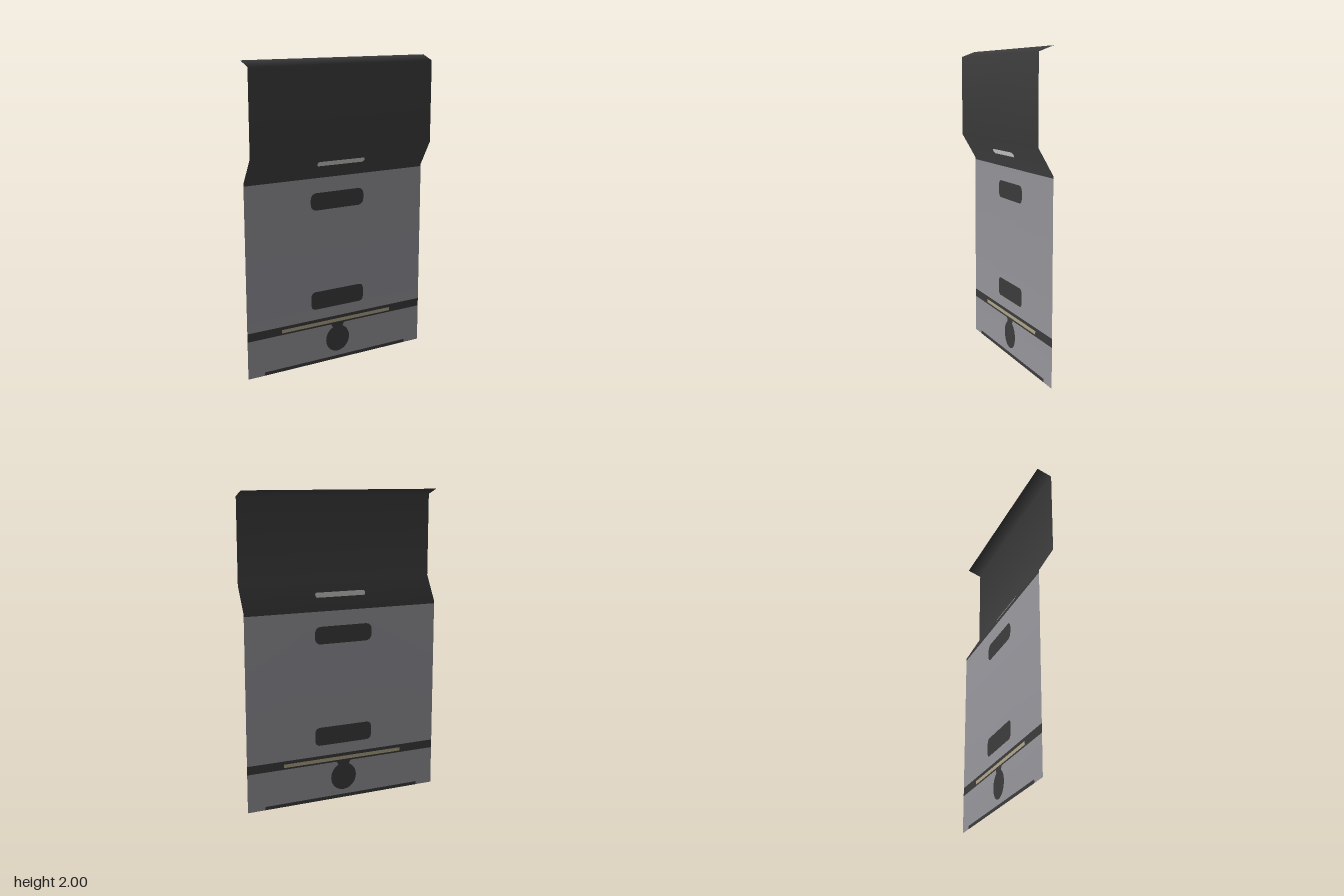
import * as THREE from 'three';

const W = 0.667; // half width of the sheet

// Side profile of the folded sheet, bottom to top: [y, z]
const PROFILE = [[0, -0.048], [1.265, -0.048], [1.43, 0.047], [1.965, 0.047], [2, -0.045]];

// Length-weighted normals at the folds, for soft shading across them
const segments = PROFILE.slice(1).map(([y, z], i) => [PROFILE[i][1] - z, y - PROFILE[i][0]]);
const NORMALS = PROFILE.map((_, i) => {
  const a = segments[i - 1] ?? [0, 0], b = segments[i] ?? [0, 0];
  return new THREE.Vector3(0, a[0] + b[0], a[1] + b[1]).normalize();
});

const points = (list) => list.map(([x, y]) => new THREE.Vector2(x, y));
const band = (y0, y1, w = W) => points([[-w, y0], [w, y0], [w, y1], [-w, y1]]);

// Outline of a rounded slot centred on x = 0
function slot(w, y0, y1, r) {
  const corners = [[w - r, y1 - r], [r - w, y1 - r], [r - w, y0 + r], [w - r, y0 + r]];
  return corners.flatMap(([x, y], i) => [0, 1, 2, 3, 4].map((k) => {
    const a = (i + k / 4) * Math.PI / 2;
    return new THREE.Vector2(x + r * Math.cos(a), y + r * Math.sin(a));
  }));
}

export function createModel() {
  const model = new THREE.Group();
  const mat = (name, color) => new THREE.MeshStandardMaterial({ name, color, side: THREE.DoubleSide });
  const dark = mat('charcoal', 0x3c3c3c);
  const grey = mat('steel grey', 0x96969c);
  const pale = mat('pale grey', 0xc4c4c2);
  const gold = mat('dull brass', 0xb0a688);

  // Lays a flat outline (with optional holes) onto the folded profile
  function patch(name, material, outline, holes = []) {
    const shape = new THREE.Shape(outline);
    shape.holes = holes.map((h) => new THREE.Path(h));
    const geo = new THREE.ShapeGeometry(shape);
    const pos = geo.attributes.position, nor = geo.attributes.normal;
    for (let i = 0; i < pos.count; i++) {
      const y = pos.getY(i);
      let s = 0;
      while (s < PROFILE.length - 2 && y > PROFILE[s + 1][0]) s++;
      const [y0, z0] = PROFILE[s], [y1, z1] = PROFILE[s + 1];
      const t = (y - y0) / (y1 - y0);
      pos.setZ(i, z0 + (z1 - z0) * t);
      const n = NORMALS[s].clone().lerp(NORMALS[s + 1], t).normalize();
      nor.setXYZ(i, n.x, n.y, n.z);
    }
    const mesh = new THREE.Mesh(geo, material);
    mesh.name = name;
    model.add(mesh);
  }

  // Dark upper part: lip, raised panel, slope and a narrow border below the fold
  const upperSlot = slot(0.175, 1.332, 1.362, 0.012);
  patch('topLip', dark, band(1.965, 2));
  patch('raisedPanel', dark, band(1.43, 1.965));
  patch('slopedPanel', dark, band(1.265, 1.43), [upperSlot]);
  patch('foldBorder', dark, band(1.25, 1.265));
  patch('paleSlot', pale, upperSlot);

  // Grey main panel with two dark slots
  const slots = [slot(0.2, 1.04, 1.153, 0.04), slot(0.2, 0.375, 0.495, 0.03)];
  patch('mainPanel', grey, band(0.305, 1.25), slots);
  slots.forEach((s, i) => patch(i ? 'lowerSlot' : 'upperSlot', dark, s));

  // Dark cross stripe with a brass line
  const line = band(0.261, 0.284, 0.42);
  patch('crossStripe', dark, band(0.25, 0.305), [line]);
  patch('brassLine', gold, line);

  // Keyhole mark hanging from the stripe
  const keyhole = points([[-0.05, 0.25]]);
  for (let i = 0; i <= 28; i++) {
    const a = THREE.MathUtils.degToRad(115 + (310 * i) / 28);
    keyhole.push(new THREE.Vector2(0.09 * Math.cos(a), 0.145 + 0.09 * Math.sin(a)));
  }
  keyhole.push(new THREE.Vector2(0.05, 0.25));
  patch('keyhole', dark, keyhole);

  // Grey bottom panel, notched around the keyhole and the bottom strip
  patch('bottomPanel', grey, [
    ...points([[-W, 0], [-0.55, 0], [-0.55, 0.022], [0.55, 0.022], [0.55, 0], [W, 0], [W, 0.25]]),
    ...[...keyhole].reverse(),
    new THREE.Vector2(-W, 0.25),
  ]);
  patch('bottomStrip', dark, band(0, 0.022, 0.55));

  return model;
}
